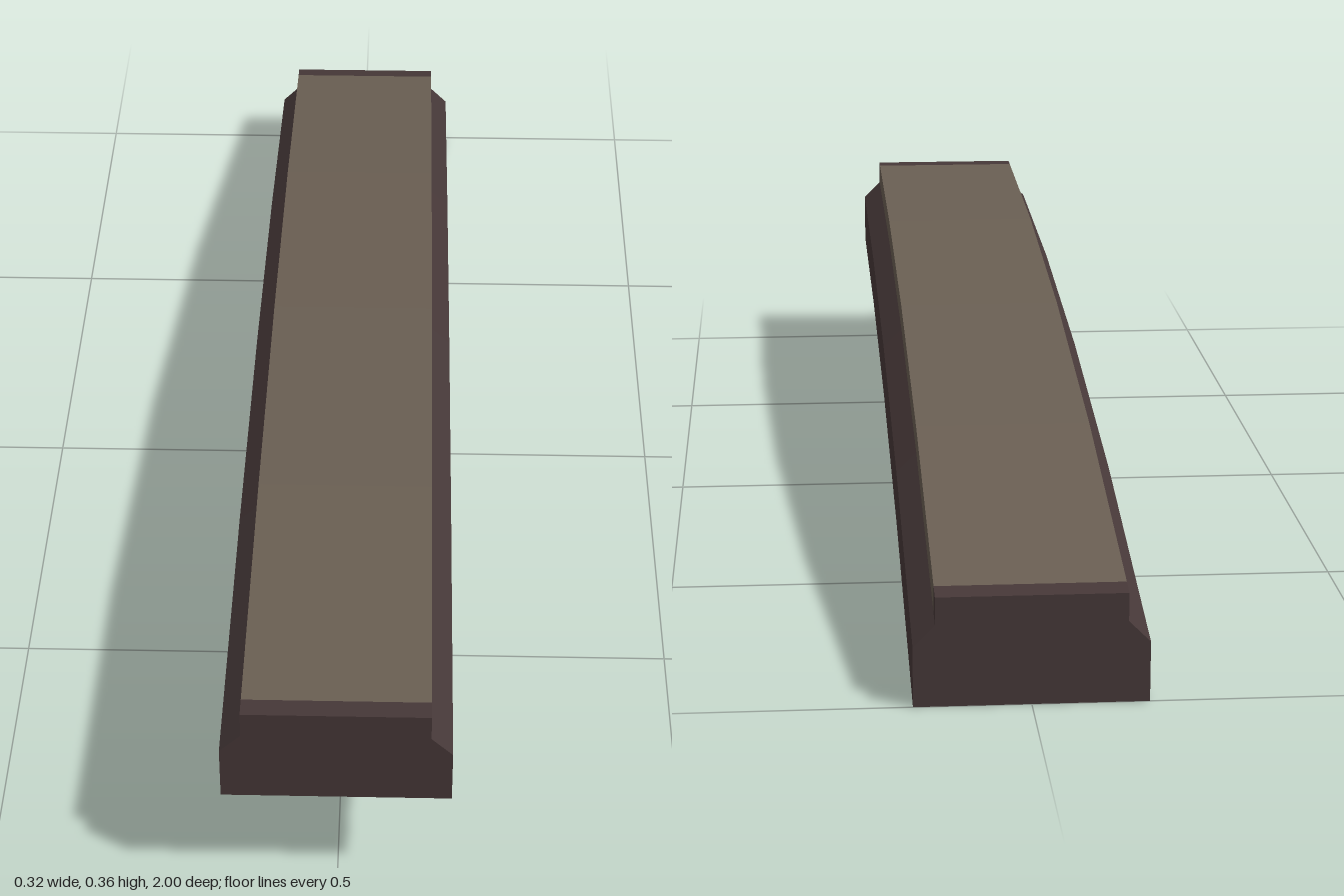
import * as THREE from 'three';

// Height of the underside along the length, as straight runs between stations
const stations = [[-1, 0], [-0.5, 0.09], [0, 0.153], [0.5, 0.19], [1, 0.203]];

function rise(z) {
  const i = Math.min(3, Math.max(0, Math.floor((z + 1) / 0.5)));
  const [z0, y0] = stations[i], [z1, y1] = stations[i + 1];
  return y0 + (y1 - y0) * (z - z0) / (z1 - z0);
}

// Extrude a profile through the given z stations and bend it along the rise
function sweep(name, profile, zs, material) {
  const n = zs.length - 1;
  const shape = new THREE.Shape(profile.map(([x, y]) => new THREE.Vector2(x, y)));
  const geo = new THREE.ExtrudeGeometry(shape, { depth: n, steps: n, bevelEnabled: false });
  const p = geo.attributes.position;
  for (let i = 0; i < p.count; i++) {
    const z = zs[Math.round(p.getZ(i))];
    p.setXYZ(i, p.getX(i), p.getY(i) + rise(z), z);
  }
  geo.computeVertexNormals();
  const mesh = new THREE.Mesh(geo, material);
  mesh.name = name;
  return mesh;
}

export function createModel() {
  const group = new THREE.Group();
  group.name = 'curvedBeam';
  const dark = new THREE.MeshStandardMaterial({ color: 0x463838 });
  dark.name = 'dark brown';
  const tan = new THREE.MeshStandardMaterial({ color: 0x6a5f53 });
  tan.name = 'dusty brown';

  const base = [[-0.16, 0], [0.16, 0], [0.16, 0.085], [0.13, 0.115], [-0.13, 0.115], [-0.16, 0.085]];
  const cap = [[-0.13, 0.115], [0.13, 0.115], [0.13, 0.155], [-0.13, 0.155]];

  // Chamfered lower beam
  group.add(sweep('base', base, [-1, -0.5, 0, 0.5, 1], dark));
  // Raised top strip with dark end borders
  group.add(sweep('topStrip', cap, [-0.97, -0.5, 0, 0.5, 0.97], tan));
  group.add(sweep('frontBorder', cap, [0.97, 1], dark));
  group.add(sweep('backBorder', cap, [-1, -0.97], dark));
  return group;
}
